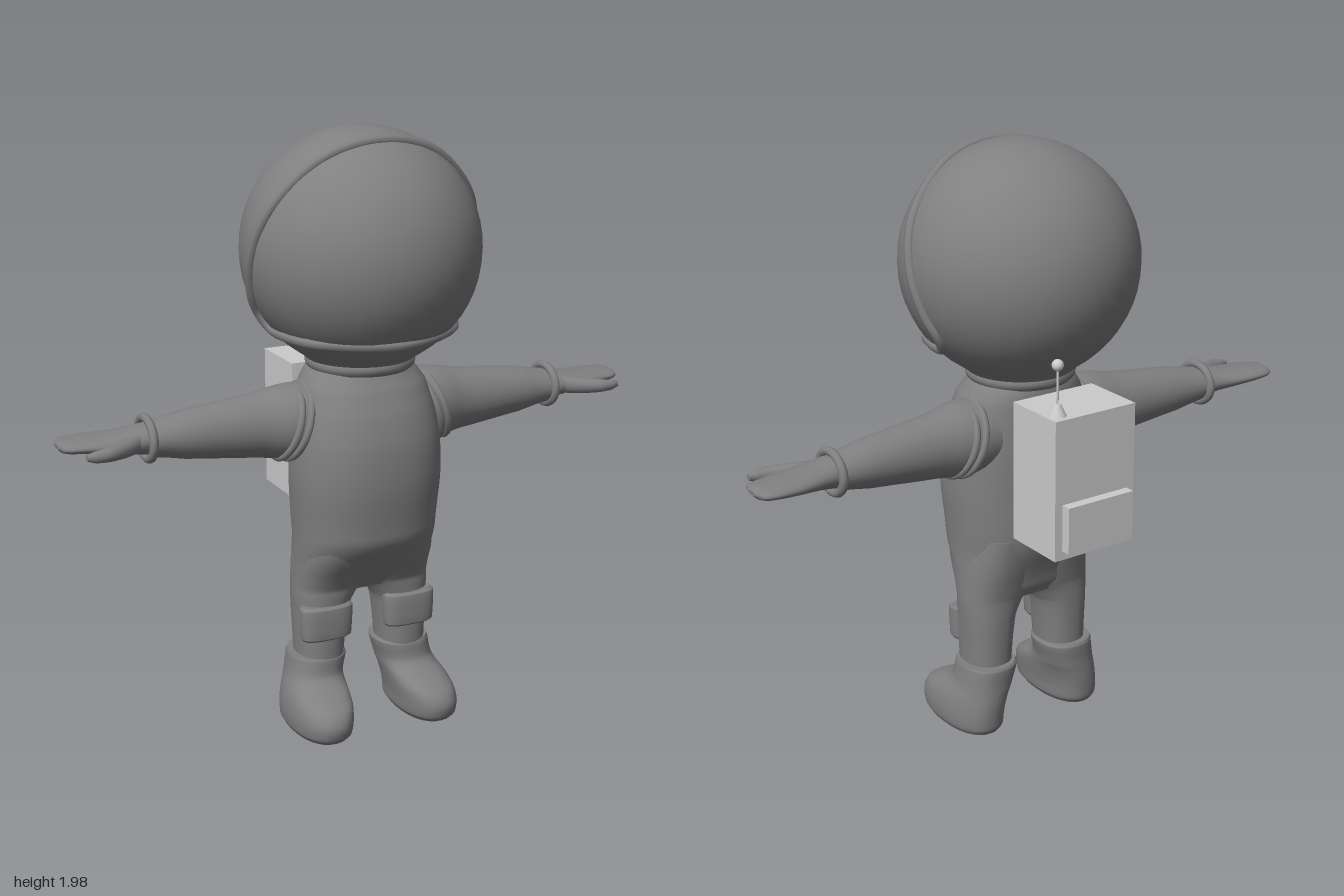
import * as THREE from 'three';

const suit = new THREE.MeshStandardMaterial({ color: 0x808080 });
const grey = new THREE.MeshStandardMaterial({ color: 0xcccccc });

function add(parent, name, geometry, material = suit, x = 0, y = 0, z = 0) {
  const mesh = new THREE.Mesh(geometry, material);
  mesh.name = name;
  mesh.position.set(x, y, z);
  parent.add(mesh);
  return mesh;
}

const catmull = (a, b, c, d, s) =>
  b + 0.5 * s * (c - a + s * (2 * a - 5 * b + 4 * c - d + s * (3 * (b - c) + d - a)));

// Smooth capped loft through superellipse rings [t, uMin, uMax, vMin, vMax], t ascending.
// Along 'y': t, u, v are y, x, z. Along 'x': t, u, v are x, z, y.
function loft(axis, rings, power = 2, sides = 32, steps = 4) {
  const sections = [];
  const last = rings.length - 1;
  for (let i = 0; i < last; i++) {
    for (let k = 0; k < steps; k++) {
      const [a, b, c, d] = [i - 1, i, i + 1, i + 2].map((j) => rings[Math.min(last, Math.max(0, j))]);
      const s = k / steps;
      sections.push(b.map((_, n) => (n ? catmull(a[n], b[n], c[n], d[n], s) : b[0] + (c[0] - b[0]) * s)));
    }
  }
  sections.push(rings[last]);
  const pos = [], index = [];
  const put = (t, u, v) => (axis === 'y' ? pos.push(u, t, v) : pos.push(t, v, u));
  const round = (w) => Math.sign(w) * Math.abs(w) ** (2 / power);
  const ring = ([t, u0, u1, v0, v1]) => {
    for (let i = 0; i < sides; i++) {
      const a = (i / sides) * Math.PI * 2;
      put(t, (u0 + u1) / 2 + ((u1 - u0) / 2) * round(Math.cos(a)),
        (v0 + v1) / 2 + ((v1 - v0) / 2) * round(Math.sin(a)));
    }
  };
  sections.forEach(ring);
  for (let r = 0; r < sections.length - 1; r++) {
    for (let i = 0; i < sides; i++) {
      const a = r * sides + i, b = r * sides + ((i + 1) % sides);
      index.push(a, a + sides, b, b, a + sides, b + sides);
    }
  }
  // End caps with their own vertices, so the rims stay sharp
  for (const end of [0, sections.length - 1]) {
    const s = sections[end], base = pos.length / 3;
    ring(s);
    put(s[0], (s[1] + s[2]) / 2, (s[3] + s[4]) / 2);
    for (let i = 0; i < sides; i++) {
      const a = base + i, b = base + ((i + 1) % sides);
      if (end) index.push(base + sides, b, a);
      else index.push(base + sides, a, b);
    }
  }
  const g = new THREE.BufferGeometry();
  g.setAttribute('position', new THREE.Float32BufferAttribute(pos, 3));
  g.setIndex(index);
  g.computeVertexNormals();
  return g;
}

// Spherical helmet with a rim that follows its surface round the visor
function makeHelmet() {
  const helmet = new THREE.Group();
  helmet.name = 'helmet';
  const R = 0.385, cy = 1.59, cz = 0.02;
  add(helmet, 'helmetShell', new THREE.SphereGeometry(R, 40, 28), suit, 0, cy, cz);
  add(helmet, 'helmetNeck', new THREE.CylinderGeometry(0.275, 0.165, 0.11, 40, 1, true), suit, 0, 1.285, 0.015);
  const half = [[1.9, 0.15], [1.75, 0.1], [1.6, 0.045], [1.47, 0], [1.4, -0.022],
    [1.355, 0.0], [1.345, 0.1], [1.34, 0.2]];
  const onShell = (side) => ([y, z]) => {
    const x = Math.sqrt(Math.max(0, R * R - (y - cy) ** 2 - (z - cz) ** 2));
    return new THREE.Vector3(side * x, y - cy, z - cz).setLength(R);
  };
  const path = [onShell(0)([1.95, 0.17]), ...half.map(onShell(1)),
    onShell(0)([1.335, 0.31]), ...half.map(onShell(-1)).reverse()];
  add(helmet, 'visorRim', new THREE.TubeGeometry(new THREE.CatmullRomCurve3(path, true), 120, 0.017, 8, true),
    suit, 0, cy, cz);
  const collar = add(helmet, 'neckCollar', new THREE.TorusGeometry(0.152, 0.027, 12, 40), suit, 0, 1.23, 0.015);
  collar.rotation.x = Math.PI / 2;
  return helmet;
}

// Arm, mitten and cuffs on the +x side
function makeArm() {
  const arm = new THREE.Group();
  add(arm, 'sleeve', loft('x', [
    [0.12, -0.11, 0.11, 0.94, 1.16], [0.24, -0.115, 0.12, 0.925, 1.17], [0.36, -0.1, 0.09, 0.94, 1.15],
    [0.6, -0.092, 0.068, 0.967, 1.123], [0.72, -0.088, 0.055, 0.988, 1.1]]));
  [[0.232, 0.122], [0.262, 0.117]].forEach(([x, r]) => {
    const band = add(arm, 'shoulderBand', new THREE.TorusGeometry(r, 0.012, 8, 36), suit, x, 1.045, 0.003);
    band.rotation.set(0, Math.PI / 2, 0.3, 'ZYX');
  });
  const cuff = add(arm, 'wristCuff', new THREE.TorusGeometry(0.065, 0.014, 10, 32), suit, 0.72, 1.047, -0.018);
  cuff.rotation.y = Math.PI / 2;
  cuff.scale.x = 1.14;
  add(arm, 'hand', loft('x', [
    [0.7, -0.08, 0.05, 0.995, 1.1], [0.78, -0.09, 0.055, 1.008, 1.088], [0.85, -0.105, 0.05, 1.018, 1.08],
    [0.92, -0.112, 0.038, 1.026, 1.076], [0.97, -0.108, 0.028, 1.031, 1.072],
    [0.99, -0.095, 0.015, 1.036, 1.069], [1.0, -0.065, -0.015, 1.046, 1.06]]));
  add(arm, 'thumb', loft('x', [
    [0.74, -0.01, 0.045, 1.02, 1.08], [0.81, 0.02, 0.082, 1.018, 1.074], [0.87, 0.058, 0.108, 1.022, 1.068],
    [0.92, 0.074, 0.108, 1.026, 1.062], [0.945, 0.08, 0.1, 1.034, 1.056]], 2, 16));
  return arm;
}

// Leg, knee pad and boot on the +x side
function makeLeg() {
  const leg = new THREE.Group();
  add(leg, 'trouserLeg', loft('y', [
    [0.18, 0.075, 0.228, -0.085, 0.095], [0.3, 0.066, 0.232, -0.088, 0.1], [0.4, 0.052, 0.237, -0.09, 0.1],
    [0.45, 0.024, 0.24, -0.09, 0.103], [0.49, -0.01, 0.24, -0.095, 0.112],
    [0.6, -0.03, 0.235, -0.118, 0.175], [0.7, 0, 0.22, -0.13, 0.2]], 2.3));
  add(leg, 'kneePad', loft('y', [
    [0.305, 0.072, 0.232, 0.03, 0.1], [0.315, 0.065, 0.239, 0.03, 0.112],
    [0.415, 0.06, 0.242, 0.03, 0.112], [0.425, 0.067, 0.235, 0.03, 0.1]], 2.8));
  add(leg, 'boot', loft('y', [
    [0, 0.11, 0.28, -0.09, 0.235], [0.018, 0.098, 0.29, -0.102, 0.254], [0.06, 0.094, 0.292, -0.106, 0.262],
    [0.1, 0.088, 0.286, -0.108, 0.242], [0.13, 0.083, 0.276, -0.108, 0.19],
    [0.155, 0.078, 0.265, -0.108, 0.132], [0.18, 0.073, 0.258, -0.108, 0.106],
    [0.232, 0.06, 0.25, -0.111, 0.1], [0.242, 0.065, 0.246, -0.106, 0.095]], 2.3));
  return leg;
}

// Life-support box with rear panel and antenna
function makeBackpack() {
  const pack = new THREE.Group();
  pack.name = 'backpack';
  add(pack, 'packBox', new THREE.BoxGeometry(0.306, 0.465, 0.225), grey, -0.014, 0.957, -0.258);
  add(pack, 'packPanel', new THREE.BoxGeometry(0.25, 0.155, 0.035), grey, -0.014, 0.833, -0.387);
  add(pack, 'antennaBase', new THREE.CylinderGeometry(0.01, 0.03, 0.04, 20), grey, 0.1, 1.208, -0.325);
  add(pack, 'antennaRod', new THREE.CylinderGeometry(0.004, 0.004, 0.14, 10), grey, 0.1, 1.285, -0.325);
  add(pack, 'antennaBall', new THREE.SphereGeometry(0.019, 16, 12), grey, 0.1, 1.352, -0.325);
  return pack;
}

export function createModel() {
  const model = new THREE.Group();
  model.name = 'astronaut';
  add(model, 'torso', loft('y', [
    [0.465, -0.19, 0.19, -0.075, 0.085], [0.5, -0.235, 0.235, -0.095, 0.115], [0.56, -0.238, 0.238, -0.11, 0.16],
    [0.65, -0.238, 0.238, -0.14, 0.222], [0.72, -0.242, 0.242, -0.15, 0.235], [0.85, -0.25, 0.25, -0.15, 0.25],
    [0.98, -0.246, 0.246, -0.15, 0.247], [1.08, -0.23, 0.23, -0.147, 0.225],
    [1.16, -0.208, 0.208, -0.145, 0.193], [1.2, -0.182, 0.182, -0.142, 0.17],
    [1.24, -0.15, 0.15, -0.13, 0.155]], 2.3, 40));
  model.add(makeHelmet(), makeBackpack());
  for (const [side, label] of [[1, 'left'], [-1, 'right']]) {
    const arm = makeArm(), leg = makeLeg();
    arm.name = label + 'Arm';
    leg.name = label + 'Leg';
    arm.scale.x = leg.scale.x = side;
    model.add(arm, leg);
  }
  return model;
}
